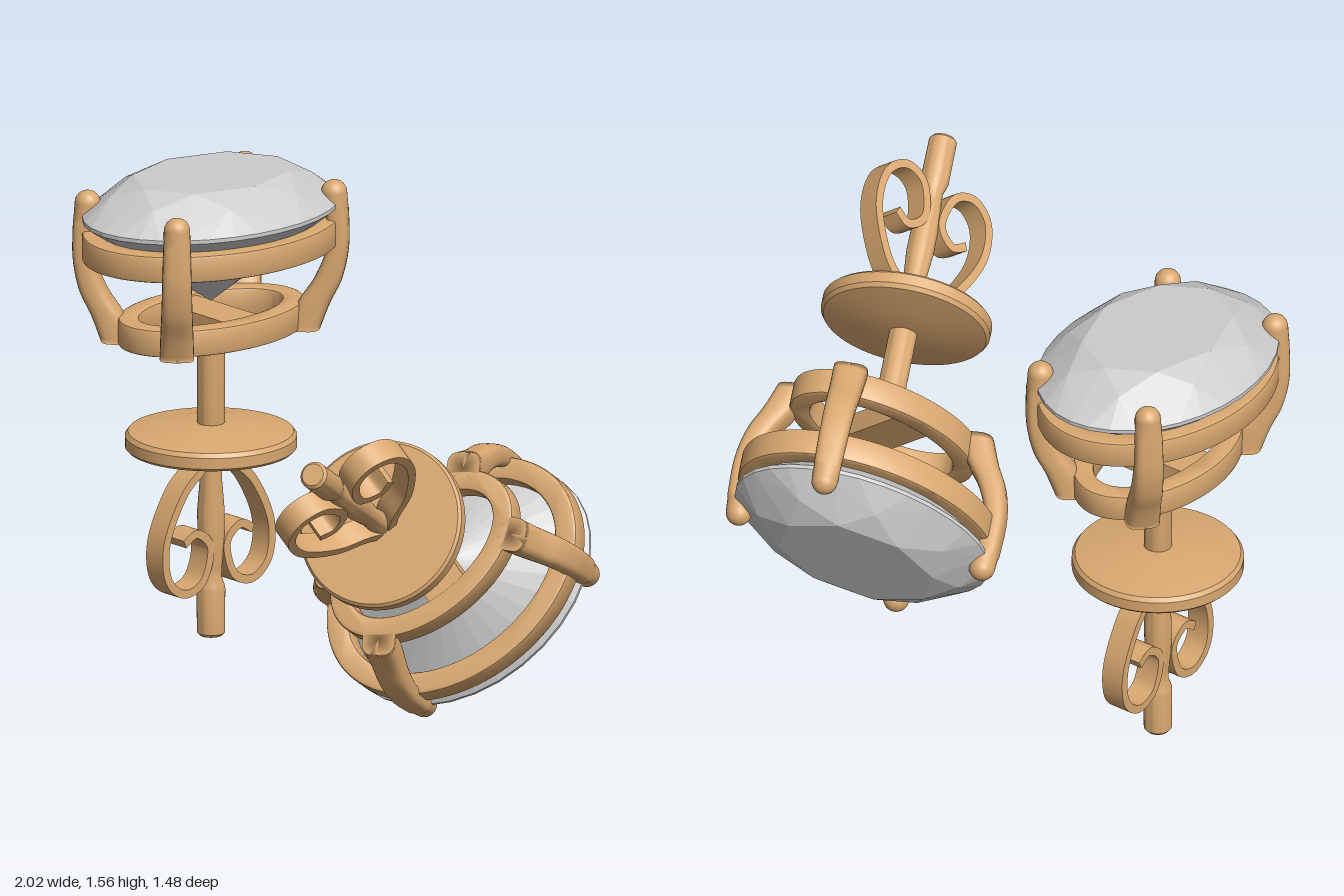
import * as THREE from 'three';
import { toCreasedNormals } from 'three/addons/utils/BufferGeometryUtils.js';
import { ConvexGeometry } from 'three/addons/geometries/ConvexGeometry.js';
import { ParametricGeometry } from 'three/addons/geometries/ParametricGeometry.js';

const gold = new THREE.MeshStandardMaterial({ color: 0xd9a870 });
const grey = new THREE.MeshStandardMaterial({ color: 0xcccccc, flatShading: true });

function add(parent, name, geometry, material = gold) {
  const mesh = new THREE.Mesh(geometry, material);
  mesh.name = name;
  parent.add(mesh);
  return mesh;
}

// Flat oval band between heights y0 and y1
function ovalRing(rx, rz, inX, inZ, y0, y1) {
  const b = 0.01;
  const shape = new THREE.Shape().absellipse(0, 0, rx - b, rz - b, 0, Math.PI * 2);
  shape.holes.push(new THREE.Path().absellipse(0, 0, inX + b, inZ + b, 0, Math.PI * 2, true));
  const g = new THREE.ExtrudeGeometry(shape, {
    depth: y1 - y0 - 2 * b, curveSegments: 48, bevelThickness: b, bevelSize: b, bevelSegments: 2,
  });
  g.rotateX(-Math.PI / 2).translate(0, y0 + b, 0);
  return toCreasedNormals(g, 0.6);
}

function lathe(profile, segments) {
  const pts = profile.map(([r, y]) => new THREE.Vector2(r, y));
  return toCreasedNormals(new THREE.LatheGeometry(pts, segments), 0.6);
}

// Oval brilliant cut: table, crown, girdle and pointed pavilion
function stoneGeometry() {
  const pts = [new THREE.Vector3(0, 1.145, 0)];
  const ring = (n, offset, scale, y) => {
    for (let i = 0; i < n; i++) {
      const t = ((i + offset) / n) * Math.PI * 2;
      pts.push(new THREE.Vector3(0.34 * scale * Math.cos(t), y, 0.46 * scale * Math.sin(t)));
    }
  };
  ring(8, 0, 0.62, 1.57);
  ring(8, 0.5, 0.8, 1.53);
  ring(32, 0, 1, 1.458);
  ring(32, 0, 1, 1.445);
  return new ConvexGeometry(pts);
}

// Curved claw: each row is height, outward offset, half thickness
function prongGeometry() {
  const spine = new THREE.CatmullRomCurve3([
    [1.035, -0.095, 0.05], [1.12, -0.065, 0.052], [1.2, -0.02, 0.045],
    [1.3, 0.01, 0.036], [1.4, 0.012, 0.035], [1.488, 0, 0.042],
  ].map((p) => new THREE.Vector3(...p)));
  const p = new THREE.Vector3();
  const round = (s) => Math.sign(s) * Math.abs(s) ** 0.65;
  return new ParametricGeometry((u, v, out) => {
    const t = u * Math.PI * 2;
    spine.getPoint(Math.max(0, (v - 0.04) / 0.96), p);
    const k = v === 0 ? 0 : 1; // closes the foot
    const width = 0.056 - 0.014 * v;
    const f = v > 0.9 ? (s) => s : round;
    out.set(p.y + k * p.z * f(Math.cos(t)), p.x, -k * width * f(Math.sin(t)));
  }, 24, 25);
}

// Curled strip of the butterfly clip, on one side of the post
function scrollGeometry(side) {
  const curve = new THREE.SplineCurve([
    [0.02, 0.0], [0.06, 0.05], [0.147, 0.125], [0.22, 0.27], [0.215, 0.395], [0.145, 0.455],
    [0.065, 0.425], [0.035, 0.32], [0.09, 0.265], [0.145, 0.29],
  ].map(([v, u]) => new THREE.Vector2(side * v, 0.66 - u)));
  const left = [], right = [];
  for (let i = 0; i <= 60; i++) {
    const c = curve.getPoint(i / 60), t = curve.getTangent(i / 60);
    left.push(new THREE.Vector2(c.x - t.y * 0.014, c.y + t.x * 0.014));
    right.unshift(new THREE.Vector2(c.x + t.y * 0.014, c.y - t.x * 0.014));
  }
  const g = new THREE.ExtrudeGeometry(new THREE.Shape([...left, ...right]), { depth: 0.08, bevelEnabled: false });
  g.translate(0, 0, -0.04).rotateY(-Math.PI / 2);
  return toCreasedNormals(g, 0.6);
}

// One stud standing on its post, axis along y
function createEarring(name) {
  const g = new THREE.Group();
  g.name = name;
  add(g, 'stone', stoneGeometry(), grey);
  add(g, 'upperRing', ovalRing(0.34, 0.46, 0.265, 0.385, 1.315, 1.405));
  add(g, 'baseRing', ovalRing(0.22, 0.345, 0.15, 0.275, 1.035, 1.125));
  add(g, 'crossbar', new THREE.BoxGeometry(0.36, 0.075, 0.14)).position.y = 1.08;

  // Four claws with rounded tips
  const prong = prongGeometry();
  const tip = new THREE.SphereGeometry(0.042, 24, 16);
  for (const sx of [-1, 1]) for (const sz of [-1, 1]) {
    const claw = new THREE.Group();
    claw.name = 'prong';
    add(claw, 'prongArm', prong);
    add(claw, 'prongTip', tip).position.y = 1.488;
    claw.position.set(sx * 0.215, 0, sz * 0.335);
    claw.rotation.y = -Math.atan2(sz * 0.66, sx * 0.75);
    g.add(claw);
  }

  // Post with a notch near its end
  add(g, 'post', lathe([
    [0, 0.035], [0.036, 0.035], [0.045, 0.045], [0.046, 0.19], [0.043, 0.205], [0.034, 0.23],
    [0.036, 0.27], [0.043, 0.34], [0.044, 0.45], [0.035, 0.56], [0.038, 0.66], [0.045, 0.7], [0.045, 1.08],
  ], 32));

  // Backing disc and clip
  add(g, 'backDisc', lathe([
    [0, 0.655], [0.266, 0.655], [0.275, 0.664], [0.275, 0.7], [0.265, 0.714], [0.14, 0.736], [0, 0.745],
  ], 64));
  for (const side of [-1, 1]) add(g, 'clipScroll', scrollGeometry(side));
  return g;
}

export function createModel() {
  const model = new THREE.Group();
  model.name = 'earrings';

  const upright = createEarring('uprightEarring');
  upright.position.set(-0.66, 0, -0.285);
  model.add(upright);

  // Second stud lies tipped over, stone facing down and back
  const tipped = createEarring('tippedEarring');
  const across = new THREE.Vector3(0.8, -0.6, 0);
  const axis = new THREE.Vector3(-0.37, -0.493, -0.787).normalize();
  const along = new THREE.Vector3().crossVectors(across, axis);
  tipped.quaternion.setFromRotationMatrix(new THREE.Matrix4().makeBasis(across, axis, along));
  tipped.position.set(0.42, 0.39, -0.437).addScaledVector(axis, -1.5);
  model.add(tipped);
  return model;
}
